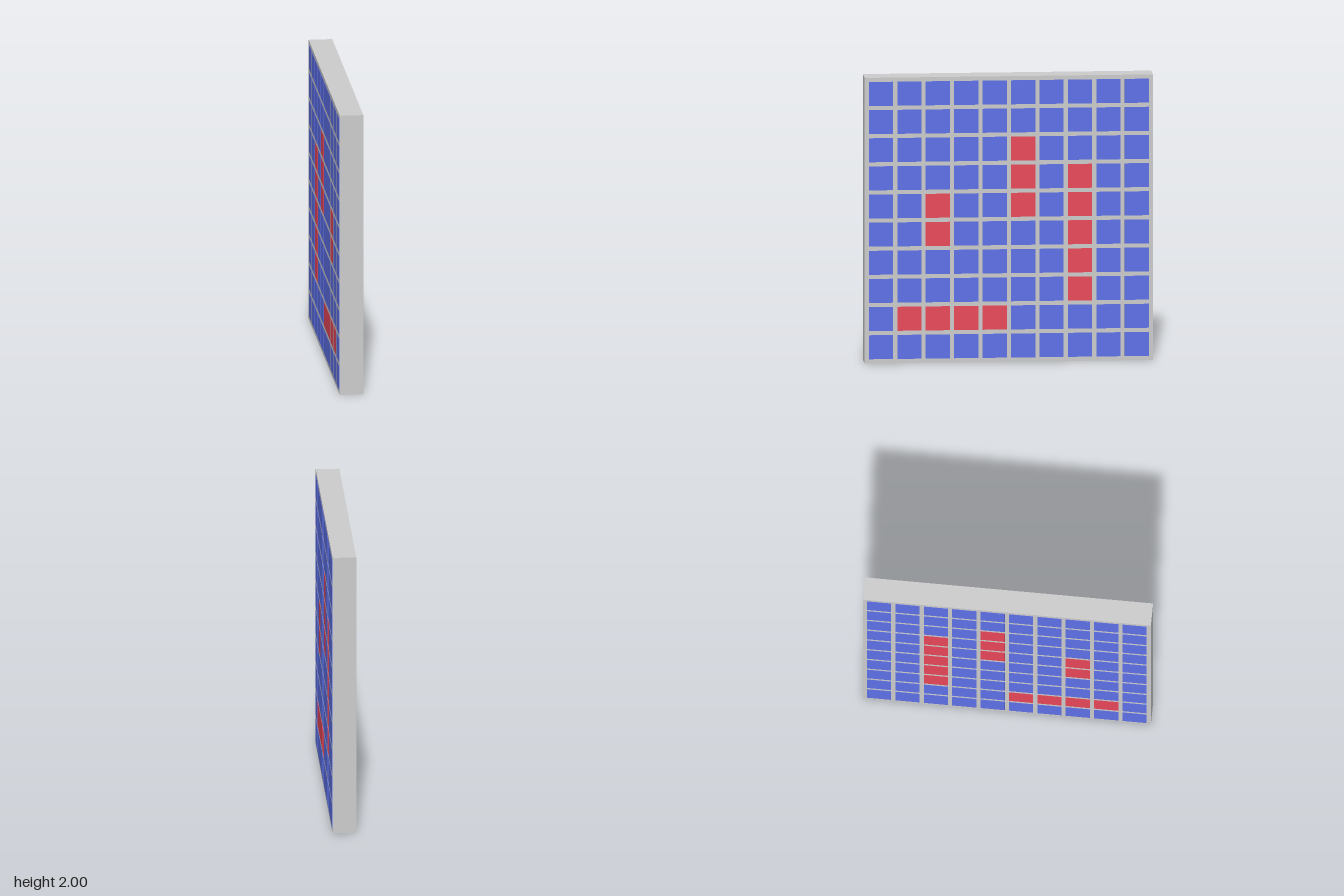
import * as THREE from 'three';

export function createModel() {
  const group = new THREE.Group();
  const grey = new THREE.MeshStandardMaterial({ color: 0xcccccc });
  const blue = new THREE.MeshStandardMaterial({ color: 0x5e70e7 });
  const red = new THREE.MeshStandardMaterial({ color: 0xe74759 });

  const count = 10, size = 2, thickness = 0.164, tile = 0.168;
  const gap = (size - count * tile) / (count + 1);
  const pitch = tile + gap;

  // Upright backing panel; its surface shows as the grid lines between tiles
  const panel = new THREE.Mesh(new THREE.BoxGeometry(thickness, size, size), grey);
  panel.name = 'panel';
  panel.position.y = size / 2;
  group.add(panel);

  // Runs of red tiles: [first column, first row, columns, rows], from top and +z
  const runs = [[5, 2, 1, 3], [7, 3, 1, 5], [2, 4, 1, 2], [1, 8, 4, 1]];
  const isRed = (c, r) => runs.some(([c0, r0, w, h]) =>
    c >= c0 && c < c0 + w && r >= r0 && r < r0 + h);

  // Tiles run through the panel and stand just proud of both faces
  const tileGeometry = new THREE.BoxGeometry(thickness + 0.004, tile, tile);
  const tiles = new THREE.Group();
  tiles.name = 'tiles';
  for (let r = 0; r < count; r++) {
    for (let c = 0; c < count; c++) {
      const marked = isRed(c, r);
      const mesh = new THREE.Mesh(tileGeometry, marked ? red : blue);
      mesh.name = marked ? 'redTile' : 'blueTile';
      const offset = gap + tile / 2;
      mesh.position.set(0, size - offset - r * pitch, size / 2 - offset - c * pitch);
      tiles.add(mesh);
    }
  }
  group.add(tiles);
  return group;
}
